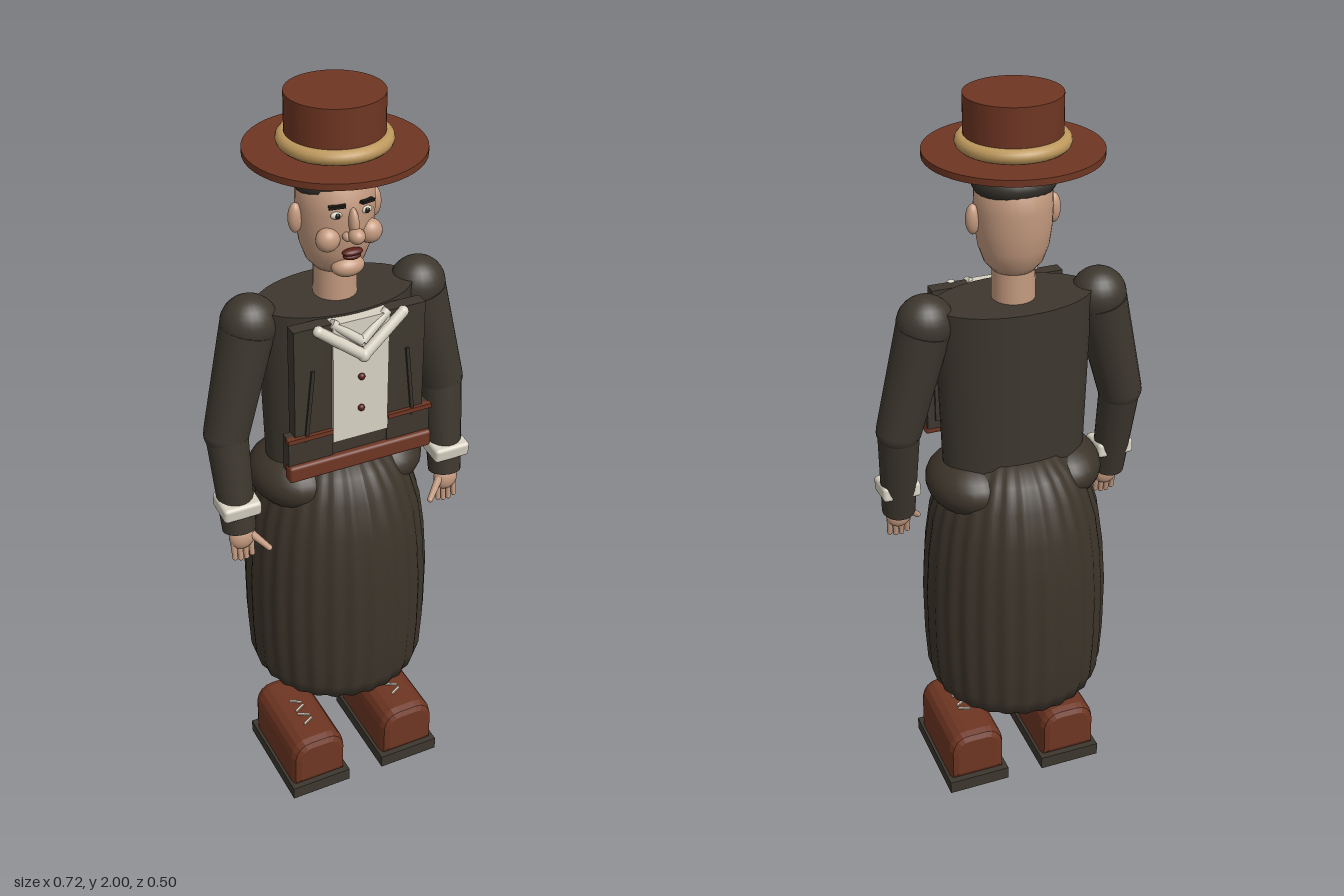
import * as THREE from 'three';
import { RoundedBoxGeometry } from 'three/addons/geometries/RoundedBoxGeometry.js';

const colours = {
  jacketCloth: 0x3d372e, trouserCloth: 0x3c342a, hairDark: 0x35312b, brownLeather: 0x6e3522,
  goldBand: 0xbd985c, skin: 0xc49a7f, linen: 0xd6d1c2, mouthRed: 0x5a1f18, soleDark: 0x3c362e, eyeBlack: 0x1c1815,
};

export function createModel() {
  const root = new THREE.Group();
  const M = {};
  for (const [name, color] of Object.entries(colours)) {
    M[name] = new THREE.MeshStandardMaterial({ color });
    M[name].name = name;
  }
  const V = (x, y, z) => new THREE.Vector3(x, y, z);

  function add(name, geo, mat, pos = [0, 0, 0], rot = [0, 0, 0], scale = [1, 1, 1]) {
    const m = new THREE.Mesh(geo, mat);
    m.name = name;
    m.position.set(...pos);
    m.rotation.set(...rot);
    m.scale.set(...scale);
    root.add(m);
    return m;
  }
  const ball = (name, mat, pos, size, rot) =>
    add(name, new THREE.SphereGeometry(1, 24, 16), mat, pos, rot, size);
  const box = (name, mat, pos, size, rot) => add(name, new THREE.BoxGeometry(...size), mat, pos, rot);
  const lathe = (pts, seg) => new THREE.LatheGeometry(pts.map(p => new THREE.Vector2(...p)), seg);

  // Tapered round limb between two points
  function limb(name, mat, a, b, ra, rb, seg = 20) {
    const A = V(...a), B = V(...b), d = B.clone().sub(A);
    const m = add(name, new THREE.CylinderGeometry(rb, ra, d.length(), seg), mat);
    m.position.copy(A).add(B).multiplyScalar(0.5);
    m.quaternion.setFromUnitVectors(V(0, 1, 0), d.normalize());
    return m;
  }

  // Hat
  add('hatBrim', new THREE.CylinderGeometry(0.216, 0.216, 0.016, 48), M.brownLeather, [0, 1.861, 0]);
  add('hatCrown', new THREE.CylinderGeometry(0.118, 0.118, 0.135, 48), M.brownLeather, [0, 1.9325, 0]);
  add('hatBand', new THREE.TorusGeometry(0.12, 0.018, 12, 48), M.goldBand, [0, 1.888, 0], [Math.PI / 2, 0, 0]);

  // Head and neck
  add('neck', new THREE.CylinderGeometry(0.053, 0.055, 0.14, 24), M.skin, [0, 1.53, 0]);
  add('head', lathe([[0, 1.56], [0.05, 1.563], [0.073, 1.59], [0.087, 1.63], [0.094, 1.68],
    [0.096, 1.73], [0.094, 1.79], [0.06, 1.82], [0, 1.83]], 32), M.skin);
  ball('hairCap', M.hairDark, [0, 1.792, -0.005], [0.104, 0.052, 0.094]);
  ball('noseTip', M.skin, [0, 1.687, 0.116], [0.02, 0.019, 0.022]);
  ball('noseBridge', M.skin, [0, 1.715, 0.1], [0.012, 0.036, 0.017], [-0.2, 0, 0]);
  ball('upperLip', M.mouthRed, [0, 1.637, 0.094], [0.027, 0.009, 0.014]);
  ball('lowerLip', M.mouthRed, [0, 1.626, 0.092], [0.023, 0.009, 0.014]);
  ball('chin', M.skin, [0, 1.59, 0.07], [0.042, 0.026, 0.03]);
  for (const s of [1, -1]) {
    ball('ear', M.skin, [s * 0.103, 1.705, 0], [0.018, 0.038, 0.017]);
    ball('cheek', M.skin, [s * 0.055, 1.672, 0.076], [0.03, 0.03, 0.026]);
    ball('nostril', M.skin, [s * 0.017, 1.682, 0.1], [0.011, 0.011, 0.014]);
    ball('eyeWhite', M.linen, [s * 0.038, 1.735, 0.087], [0.015, 0.009, 0.008]);
    ball('pupil', M.eyeBlack, [s * 0.038, 1.735, 0.094], [0.006, 0.007, 0.004]);
    box('eyebrow', M.eyeBlack, [s * 0.038, 1.758, 0.09], [0.04, 0.007, 0.015], [0, s * 0.35, -s * 0.1]);
  }

  // Oval jacket body
  add('jacketBody', new THREE.CylinderGeometry(1, 0.93, 0.45, 40), M.jacketCloth, [0, 1.265, 0], [0, 0, 0], [0.205, 1, 0.118]);

  // Shirt front, collar and buttons
  box('shirtFront', M.linen, [0, 1.317, 0.128], [0.15, 0.335, 0.036]);
  box('waistPanel', M.jacketCloth, [0, 1.13, 0.125], [0.15, 0.05, 0.03]);
  for (const y of [1.4, 1.325, 1.235]) ball('shirtButton', M.mouthRed, [0, y, 0.149], [0.009, 0.009, 0.008]);
  for (const s of [1, -1]) {
    limb('collarRoll', M.linen, [s * 0.112, 1.475, 0.143], [0, 1.392, 0.16], 0.014, 0.015, 12);
    limb('collarInner', M.linen, [s * 0.075, 1.485, 0.135], [0, 1.425, 0.15], 0.012, 0.012, 12);
    ball('collarEnd', M.linen, [s * 0.112, 1.475, 0.143], [0.014, 0.014, 0.014]);
    // Jacket fronts with lapel edge and pocket
    box('jacketFront', M.jacketCloth, [s * 0.125, 1.3, 0.122], [0.1, 0.37, 0.036]);
    box('lapelEdge', M.hairDark, [s * 0.137, 1.27, 0.142], [0.009, 0.2, 0.008], [0, 0, s * 0.1]);
    box('pocket', M.jacketCloth, [s * 0.135, 1.14, 0.127], [0.12, 0.1, 0.034]);
    box('pocketTrim', M.brownLeather, [s * 0.137, 1.185, 0.142], [0.122, 0.012, 0.016]);
  }
  ball('collarPoint', M.linen, [0, 1.392, 0.16], [0.016, 0.018, 0.016]);
  add('belt', new RoundedBoxGeometry(0.395, 0.046, 0.034, 2, 0.008), M.brownLeather, [0, 1.09, 0.14]);

  // Pleated balloon trousers
  const trousers = lathe([[0, 0.17], [0.03, 0.185], [0.125, 0.26], [0.225, 0.345], [0.238, 0.39], [0.244, 0.5],
    [0.245, 0.65], [0.236, 0.78], [0.222, 0.88], [0.195, 0.97], [0.16, 1.03], [0.125, 1.07], [0, 1.07]], 140);
  const p = trousers.attributes.position;
  for (let i = 0; i < p.count; i++) {
    const x = p.getX(i), z = p.getZ(i);
    const k = 1 + 0.014 * Math.cos(28 * Math.atan2(z, x));
    p.setX(i, x * k);
    p.setZ(i, z * k);
  }
  trousers.computeVertexNormals();
  add('pleatedTrousers', trousers, M.trouserCloth);

  // Shoe cross-section: flat base with rounded top
  const arch = new THREE.Shape();
  arch.moveTo(-0.06, 0.055);
  arch.lineTo(0.06, 0.055);
  arch.lineTo(0.06, 0.13);
  arch.quadraticCurveTo(0.055, 0.168, 0.025, 0.168);
  arch.lineTo(-0.025, 0.168);
  arch.quadraticCurveTo(-0.055, 0.168, -0.06, 0.13);
  arch.closePath();
  const shoeGeo = new THREE.ExtrudeGeometry(arch, {
    depth: 0.235, bevelEnabled: true, bevelSize: 0.02, bevelThickness: 0.025, bevelSegments: 2, curveSegments: 4,
  });

  for (const s of [1, -1]) {
    ball('hip', M.trouserCloth, [s * 0.125, 0.99, 0], [0.11, 0.08, 0.135]);

    // Arm
    ball('shoulder', M.jacketCloth, [s * 0.228, 1.455, 0], [0.073, 0.073, 0.068]);
    limb('upperSleeve', M.jacketCloth, [s * 0.234, 1.44, 0], [s * 0.304, 1.165, 0.01], 0.069, 0.058);
    ball('elbow', M.jacketCloth, [s * 0.304, 1.165, 0.01], [0.058, 0.05, 0.056]);
    limb('foreSleeve', M.jacketCloth, [s * 0.304, 1.16, 0.012], [s * 0.3, 0.9, 0.058], 0.054, 0.044);
    add('cuff', new RoundedBoxGeometry(0.102, 0.042, 0.09, 2, 0.01), M.linen, [s * 0.301, 0.975, 0.054], [0.1, 0, 0]);

    // Hand with four fingers and a thumb
    ball('palm', M.skin, [s * 0.298, 0.878, 0.068], [0.034, 0.036, 0.024]);
    for (let i = 0; i < 4; i++) {
      const x = s * (0.274 + i * 0.016), tip = 0.812 + 0.006 * Math.abs(i - 1.5);
      limb('finger', M.skin, [x, 0.865, 0.07], [x, tip, 0.076], 0.0085, 0.007, 10);
      ball('fingertip', M.skin, [x, tip, 0.076], [0.007, 0.007, 0.007]);
    }
    limb('thumb', M.skin, [s * 0.275, 0.885, 0.075], [s * 0.236, 0.842, 0.1], 0.011, 0.008, 10);
    ball('thumbTip', M.skin, [s * 0.236, 0.842, 0.1], [0.008, 0.008, 0.008]);

    // Shoe, sole and laces
    add('shoe', shoeGeo, M.brownLeather, [s * 0.14, 0, -0.062]);
    box('sole', M.soleDark, [s * 0.14, 0.019, 0.055], [0.176, 0.038, 0.3]);
    for (let i = 0; i < 4; i++)
      box('lace', M.linen, [s * 0.14, 0.189, 0.03 + i * 0.028], [0.035, 0.006, 0.006], [0, i % 2 ? 0.5 : -0.5, 0]);
  }
  return root;
}
